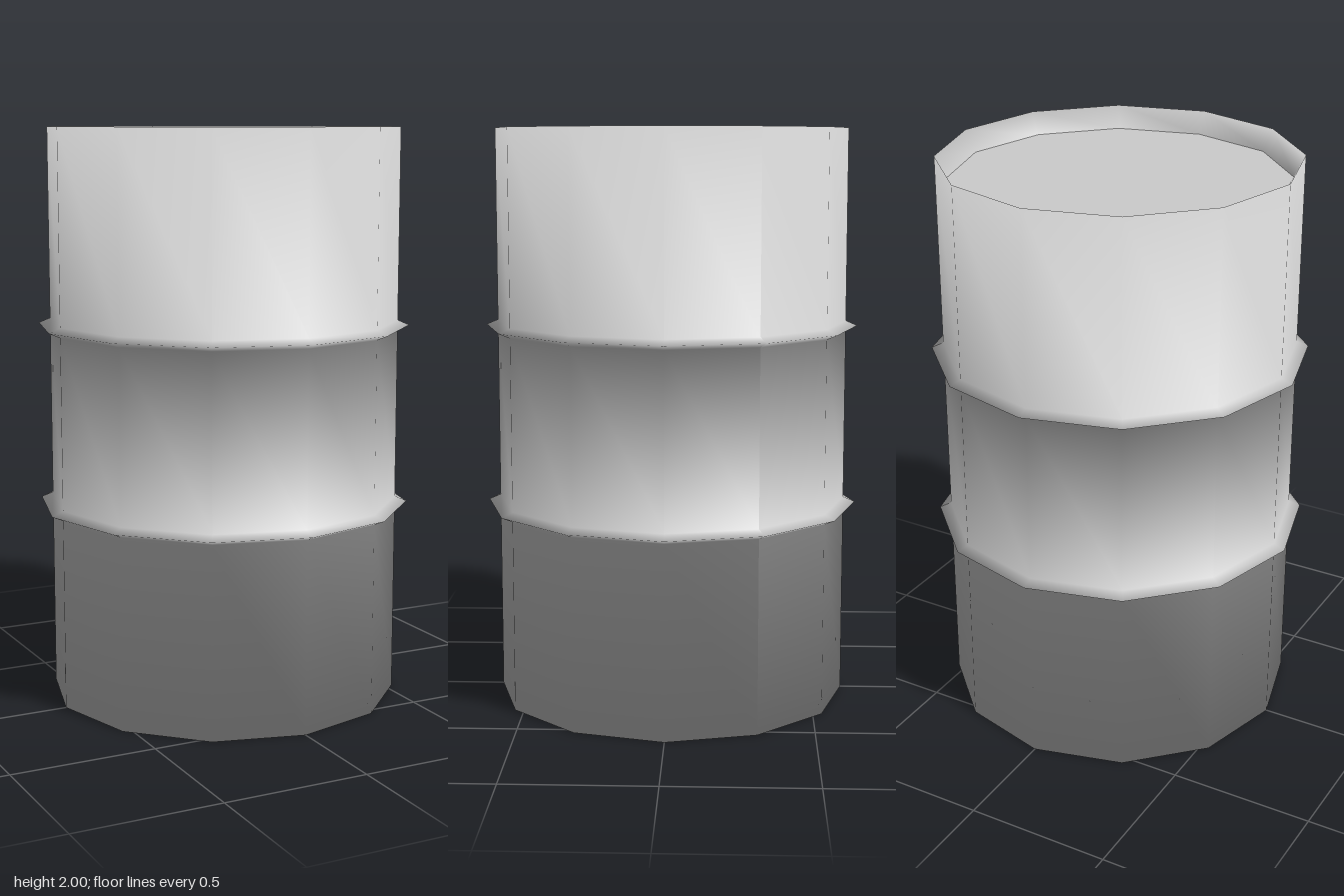
import * as THREE from 'three';

const SIDES = 12;
const SEAM = (Math.PI * 2) / 3;
const RADIUS = 0.613;
const LID_RADIUS = 0.575;
const LID_DEPTH = 0.075;
const HOOPS = [0.685, 1.315];

// Wall profile: bottom recess, side with two raised hoops, top recess
function wallProfile() {
  const p = [[LID_RADIUS, LID_DEPTH], [RADIUS, 0]];
  for (const y of HOOPS) p.push([RADIUS, y - 0.017], [0.653, y], [RADIUS, y + 0.017]);
  p.push([RADIUS, 2], [LID_RADIUS, 2 - LID_DEPTH]);
  return p.map(([x, y]) => new THREE.Vector2(x, y));
}

// Smooth shading that weighs neighbouring bands equally, split at the welded seam
function softenNormals(geometry, profile) {
  const bands = profile.slice(1).map((b, i) => {
    const d = b.clone().sub(profile[i]).normalize();
    return new THREE.Vector2(d.y, -d.x);
  });
  const normal = geometry.attributes.normal;
  for (let i = 0; i <= SIDES; i++) {
    let angle = SEAM + (i * Math.PI * 2) / SIDES;
    if (i === 0) angle += Math.PI / SIDES;
    if (i === SIDES) angle -= Math.PI / SIDES;
    profile.forEach((_, j) => {
      const n = (bands[j - 1] ?? bands[j]).clone().add(bands[j] ?? bands[j - 1]).normalize();
      normal.setXYZ(i * profile.length + j, n.x * Math.sin(angle), n.y, n.x * Math.cos(angle));
    });
  }
}

export function createModel() {
  const group = new THREE.Group();
  group.name = 'drum';
  const material = new THREE.MeshStandardMaterial({ color: 0xcccccc });

  // Barrel wall with hoops and rims
  const profile = wallProfile();
  const wallGeometry = new THREE.LatheGeometry(profile, SIDES, SEAM);
  softenNormals(wallGeometry, profile);
  const wall = new THREE.Mesh(wallGeometry, material);
  wall.name = 'wall';
  group.add(wall);

  // Recessed flat ends
  const addEnd = (name, y, tilt) => {
    const end = new THREE.Mesh(new THREE.CircleGeometry(LID_RADIUS, SIDES), material);
    end.name = name;
    end.position.y = y;
    end.rotation.x = tilt;
    group.add(end);
  };
  addEnd('lid', 2 - LID_DEPTH, -Math.PI / 2);
  addEnd('base', LID_DEPTH, Math.PI / 2);

  return group;
}
